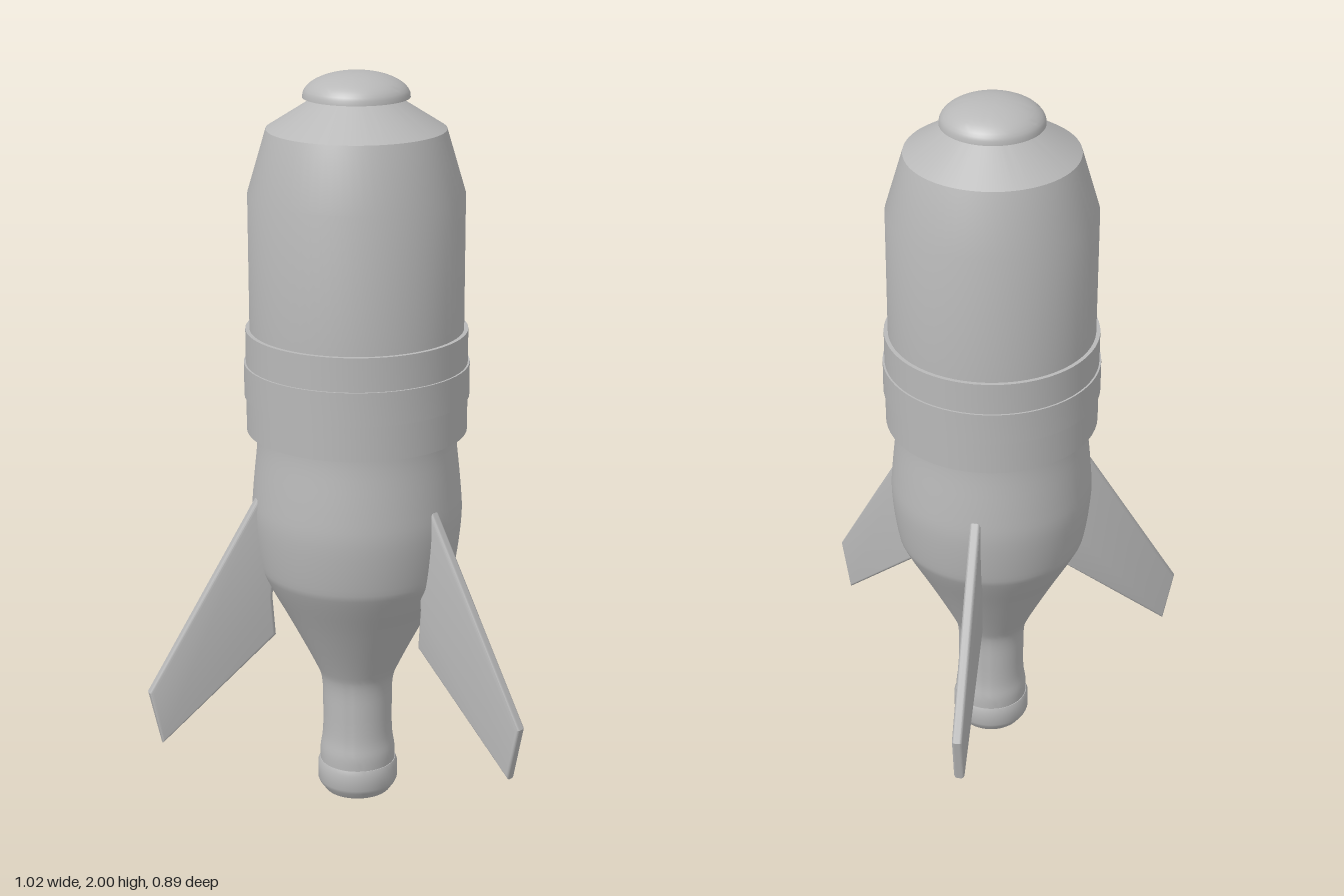
import * as THREE from 'three';
import { toCreasedNormals } from 'three/addons/utils/BufferGeometryUtils.js';

const AXIS_Z = 0.14; // body axis sits forward because one fin points straight back

export function createModel() {
  const rocket = new THREE.Group();
  rocket.name = 'bottleRocket';
  const grey = new THREE.MeshStandardMaterial({ color: 0xb8b8b8 });
  grey.name = 'plainGrey';

  const add = (name, geometry) => {
    const mesh = new THREE.Mesh(toCreasedNormals(geometry, 0.5), grey);
    mesh.name = name;
    rocket.add(mesh);
    return mesh;
  };
  // Profiles are [radius, height] pairs, listed from bottom to top
  const turn = (name, profile) =>
    add(name, new THREE.LatheGeometry(profile.map(([r, y]) => new THREE.Vector2(r, y)), 64));

  // Bottle cap at the bottom
  turn('cap', [[0, 0], [0.092, 0], [0.106, 0.02], [0.11, 0.03], [0.11, 0.075], [0.105, 0.088], [0, 0.088]]);

  // Neck, shoulder and lower body, flowing smoothly
  const curve = new THREE.SplineCurve([
    [0.103, 0.08], [0.103, 0.12], [0.096, 0.17], [0.095, 0.25], [0.098, 0.33], [0.118, 0.385],
    [0.186, 0.52], [0.25, 0.64], [0.267, 0.69], [0.281, 0.81], [0.277, 0.9], [0.265, 1.02], [0.264, 1.08],
  ].map(([r, y]) => new THREE.Vector2(r, y)));
  turn('lowerBody', curve.getPoints(48).map((p) => [p.x, p.y]));

  // Collar with a slightly raised belt
  turn('collar', [[0.262, 1.055], [0.292, 1.055], [0.292, 1.33], [0.278, 1.33]]);
  turn('collarBelt', [[0.29, 1.15], [0.297, 1.15], [0.297, 1.24], [0.29, 1.24]]);

  // Upper body, sloped nose and domed button
  turn('upperBody', [[0.281, 1.3], [0.281, 1.69], [0.232, 1.855], [0.105, 1.935], [0, 1.935]]);
  const dome = [[0, 1.935], [0.138, 1.935]];
  for (let i = 1; i <= 12; i++) {
    const a = (i / 12) * Math.PI / 2;
    dome.push([0.138 * Math.cos(a), 1.938 + 0.062 * Math.sin(a)]);
  }
  turn('noseDome', dome);

  // Three swept fins with rounded edges
  const outline = new THREE.Shape([
    [0.24, 0.88], [0.28, 0.88], [0.585, 0.36], [0.552, 0.208], [0.232, 0.488], [0.24, 0.6], [0.23, 0.7],
  ].map(([r, y]) => new THREE.Vector2(r, y)));
  for (let i = 0; i < 3; i++) {
    const geometry = new THREE.ExtrudeGeometry(outline, {
      depth: 0.01, bevelEnabled: true, bevelThickness: 0.01, bevelSize: 0.01, bevelOffset: -0.01, bevelSegments: 4,
    });
    geometry.translate(0, 0, -0.005);
    add('fin', geometry).rotation.y = Math.PI / 2 + (i * Math.PI * 2) / 3;
  }

  rocket.children.forEach((part) => { part.position.z = AXIS_Z; });
  return rocket;
}
